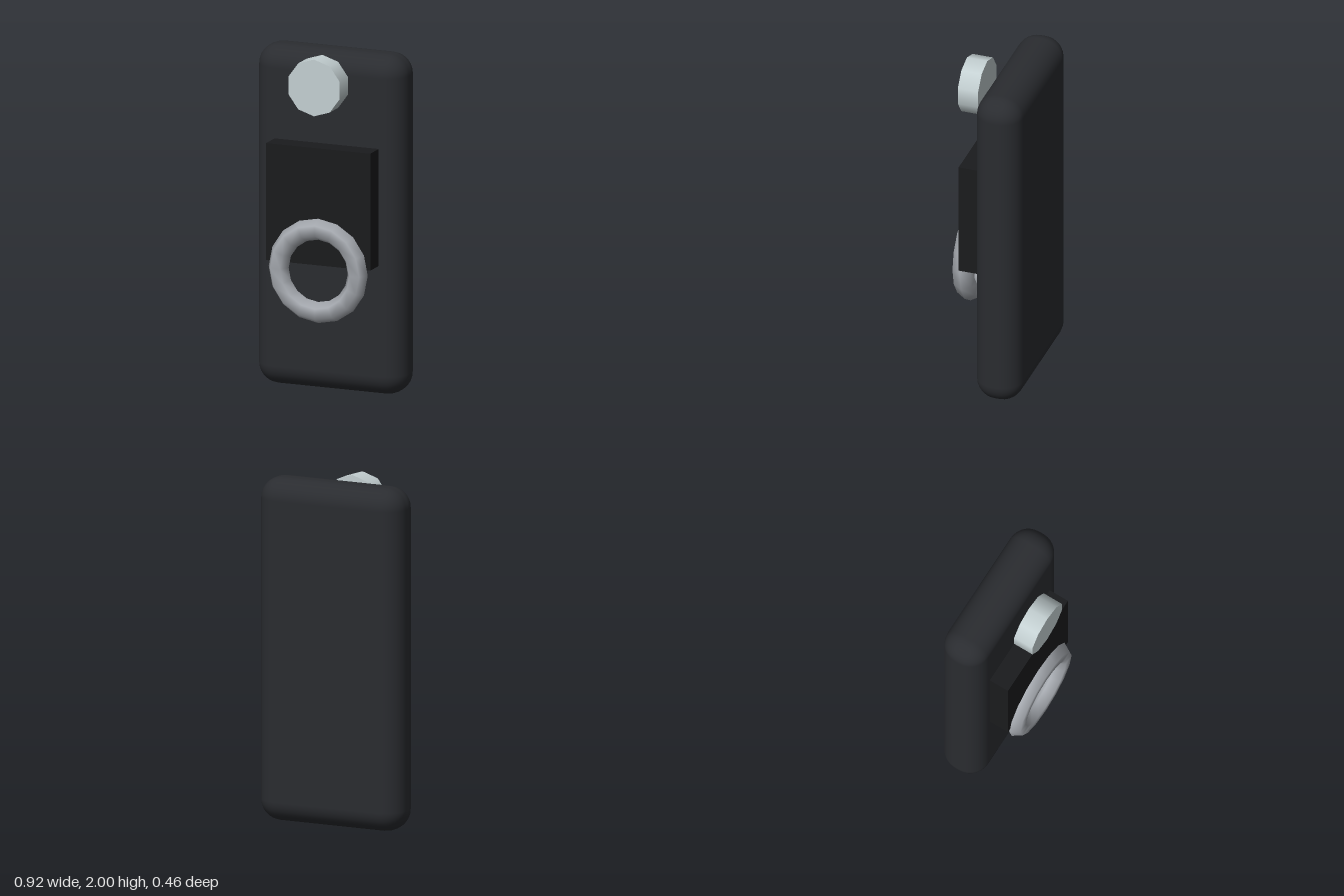
import * as THREE from 'three';
import { RoundedBoxGeometry } from 'three/addons/geometries/RoundedBoxGeometry.js';

export function createModel() {
  const group = new THREE.Group();

  const add = (name, geometry, color, y, z) => {
    const mesh = new THREE.Mesh(geometry, new THREE.MeshStandardMaterial({ color }));
    mesh.name = name;
    mesh.position.set(0, y, z);
    group.add(mesh);
    return mesh;
  };

  // Upright slab with rounded edges
  add('body', new RoundedBoxGeometry(0.92, 2, 0.275, 4, 0.123), 0x2a2c30, 1, -0.0925);

  // Raised rectangular panel on the front
  add('panel', new THREE.BoxGeometry(0.646, 0.688, 0.123), 0x1a1b1d, 1.119, 0.1065);

  // Control ring with a six-sided tube
  add('ring', new THREE.TorusGeometry(0.245, 0.062, 6, 16), 0xa6aab0, 0.743, 0.168);

  // Ten-sided disc floating in front of the top edge
  const disc = new THREE.CylinderGeometry(0.167, 0.167, 0.123, 10).rotateX(Math.PI / 2);
  add('disc', disc, 0xc4d0d2, 1.833, 0.1685);

  return group;
}
